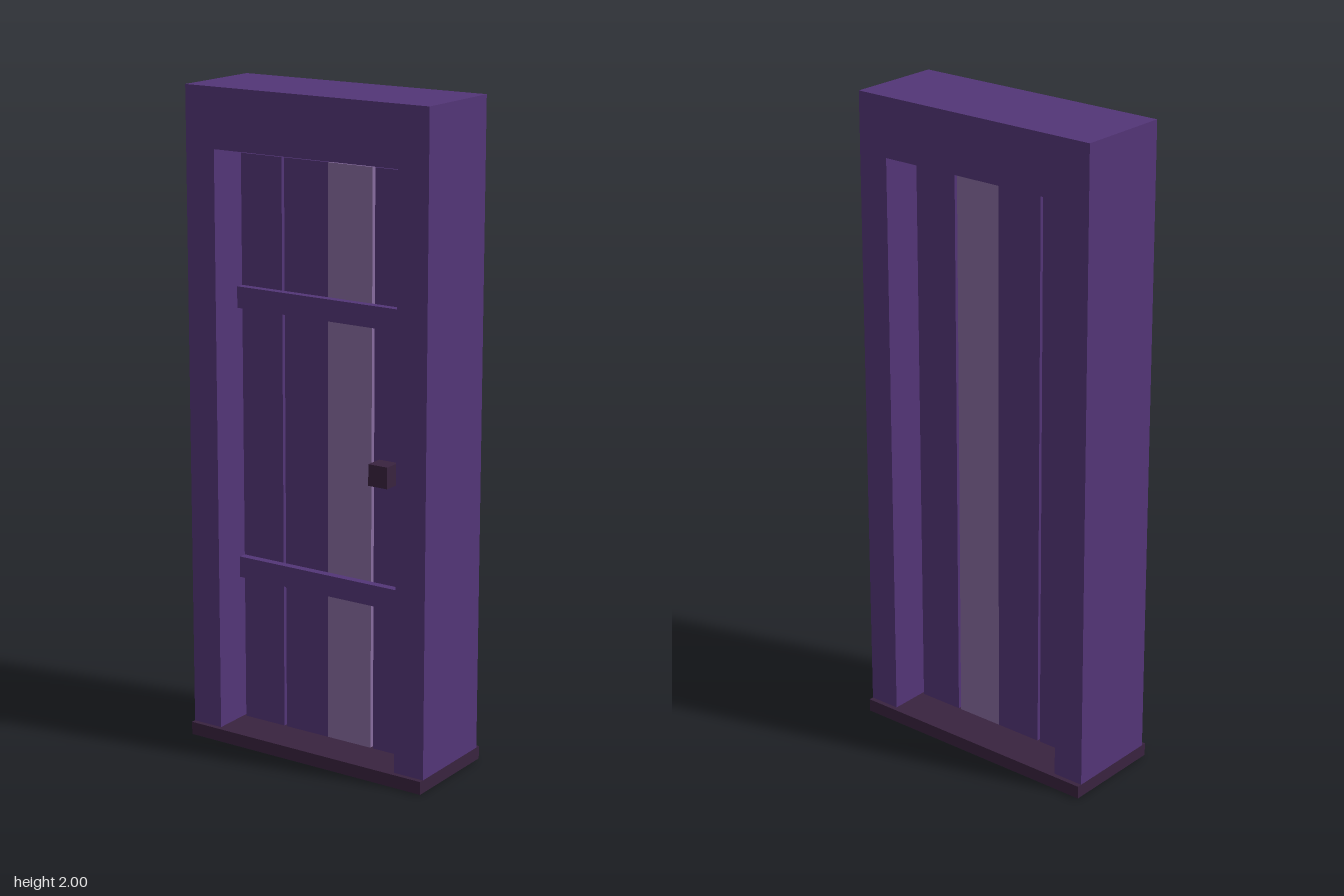
import * as THREE from 'three';

export function createModel() {
  const model = new THREE.Group();
  model.name = 'door';

  const mat = (name, color) => {
    const m = new THREE.MeshStandardMaterial({ color });
    m.name = name;
    return m;
  };
  const purple = mat('purple wood', 0x533577);
  const lilac = mat('pale lilac wood', 0x876c9f);
  const dark = mat('dark plum', 0x39233f);

  // Box given by its lower and upper corners
  const box = (name, material, [x0, y0, z0], [x1, y1, z1]) => {
    const mesh = new THREE.Mesh(new THREE.BoxGeometry(x1 - x0, y1 - y0, z1 - z0), material);
    mesh.position.set((x0 + x1) / 2, (y0 + y1) / 2, (z0 + z1) / 2);
    mesh.name = name;
    model.add(mesh);
  };

  // Threshold under the whole doorway
  box('threshold', dark, [-0.415, 0, -0.165], [0.415, 0.04, 0.165]);

  // Frame: two posts and a lintel in one arch-shaped extrusion
  const arch = new THREE.Shape([
    [-0.415, 0.04], [-0.315, 0.04], [-0.315, 1.82], [0.315, 1.82],
    [0.315, 0.04], [0.415, 0.04], [0.415, 2], [-0.415, 2],
  ].map(([x, y]) => new THREE.Vector2(x, y)));
  const frame = new THREE.Mesh(
    new THREE.ExtrudeGeometry(arch, { depth: 0.3, bevelEnabled: false }).translate(0, 0, -0.15),
    purple
  );
  frame.name = 'frame';
  model.add(frame);

  // Upright planks, one of them pale
  const planks = [
    [-0.307, -0.162, purple],
    [-0.153, 0, purple],
    [0, 0.153, lilac],
    [0.162, 0.307, purple],
  ];
  for (const [x0, x1, material] of planks) {
    box('plank', material, [x0, 0.04, -0.03], [x1, 1.795, 0.03]);
  }

  // Cross battens on the front
  for (const y of [0.5, 1.337]) {
    box('batten', purple, [-0.307, y, 0.03], [0.307, y + 0.065, 0.055]);
  }

  // Square knob
  box('knob', dark, [0.18, 0.878, 0.03], [0.245, 0.943, 0.088]);

  return model;
}
